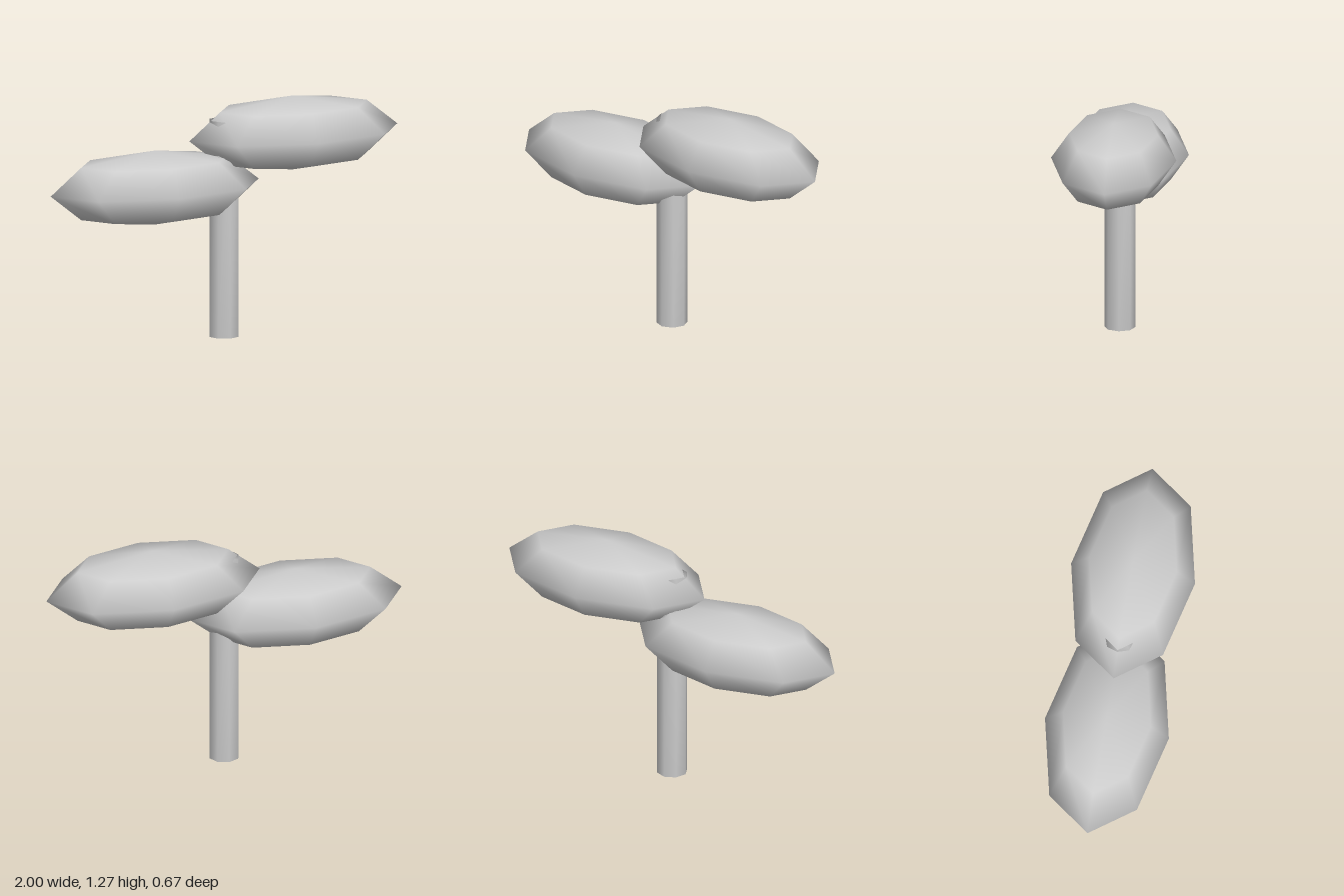
import * as THREE from 'three';
import { mergeVertices } from 'three/addons/utils/BufferGeometryUtils.js';

// Weld all shared corners so the low-poly shapes shade smoothly
function smooth(geometry) {
  geometry.deleteAttribute('uv');
  geometry.deleteAttribute('normal');
  const welded = mergeVertices(geometry, 1e-4);
  welded.computeVertexNormals();
  return welded;
}

export function createModel() {
  const group = new THREE.Group();
  const grey = new THREE.MeshStandardMaterial({ color: 0xcccccc });
  grey.name = 'grey';

  function add(name, geometry, x, y) {
    const mesh = new THREE.Mesh(smooth(geometry), grey);
    mesh.name = name;
    mesh.position.set(x, y, 0);
    group.add(mesh);
  }

  // Eight-sided trunk, its tip just breaking through the upper canopy
  const height = 1.167;
  add('trunk', new THREE.CylinderGeometry(0.083, 0.083, height, 8), 0, height / 2);

  // Two flattened canopies, stepped in height
  const canopy = () => new THREE.SphereGeometry(1, 8, 4).scale(0.6, 0.2, 0.333);
  add('lowerCanopy', canopy(), -0.4, 0.834);
  add('upperCanopy', canopy(), 0.4, 1.067);

  return group;
}
